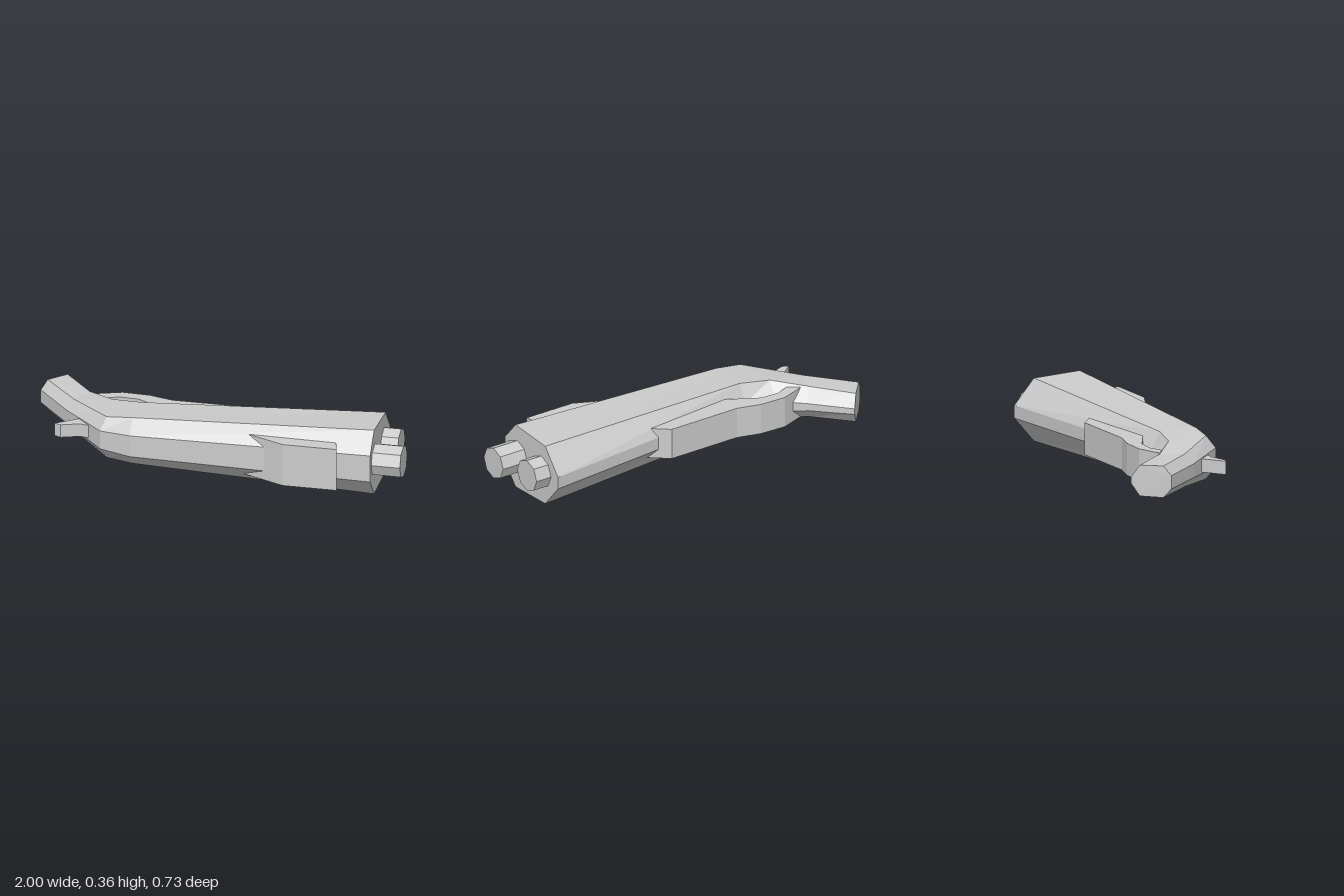
import * as THREE from 'three';

const material = new THREE.MeshStandardMaterial({ color: 0xcccccc, flatShading: true });
const MID = 0.18; // height of the centre line

// Plan-view outline [x, z] raised from y0 to y1
function slab(name, points, y0, y1) {
  const shape = new THREE.Shape(points.map(([x, z]) => new THREE.Vector2(x, -z)));
  const geometry = new THREE.ExtrudeGeometry(shape, { depth: y1 - y0, bevelEnabled: false });
  geometry.rotateX(-Math.PI / 2).translate(0, y0, 0);
  const mesh = new THREE.Mesh(geometry, material);
  mesh.name = name;
  return mesh;
}

// Eight-sided body lofted from the grip end to the muzzle
function createBody() {
  // Each station: [x, z, half height] of front edge, front ridge, back ridge, back edge
  const stations = [
    [[-1, -0.207, 0.035], [-0.97, -0.237, 0.083], [-0.887, -0.33, 0.081], [-0.855, -0.365, 0.016]],
    [[-0.81, 0.02, 0.036], [-0.78, -0.015, 0.086], [-0.725, -0.13, 0.087], [-0.69, -0.187, 0.02]],
    [[-0.58, 0.268, 0.05], [-0.555, 0.225, 0.114], [-0.578, -0.003, 0.112], [-0.56, -0.085, 0.03]],
    [[-0.415, 0.313, 0.058], [-0.415, 0.238, 0.128], [-0.415, 0.032, 0.126], [-0.415, -0.02, 0.035]],
    [[0.85, 0.32, 0.073], [0.85, 0.228, 0.178], [0.85, -0.037, 0.165], [0.85, -0.15, 0.033]],
  ];
  const rings = stations.map((s) => [
    ...s.map(([x, z, h]) => [x, MID + h, z]),
    ...s.slice().reverse().map(([x, z, h]) => [x, MID - h, z]),
  ]);
  const positions = [];
  const tri = (...corners) => corners.forEach((p) => positions.push(...p));
  for (let i = 0; i < rings.length - 1; i++) {
    for (let k = 0; k < 8; k++) {
      const n = (k + 1) % 8;
      const a = rings[i][k], b = rings[i][n], c = rings[i + 1][n], d = rings[i + 1][k];
      tri(a, d, c);
      tri(a, c, b);
    }
  }
  // End caps
  const tail = rings[0], muzzle = rings[rings.length - 1];
  for (let k = 1; k < 7; k++) {
    tri(tail[0], tail[k], tail[k + 1]);
    tri(muzzle[0], muzzle[k + 1], muzzle[k]);
  }
  const geometry = new THREE.BufferGeometry();
  geometry.setAttribute('position', new THREE.Float32BufferAttribute(positions, 3));
  geometry.computeVertexNormals();
  const mesh = new THREE.Mesh(geometry, material);
  mesh.name = 'body';
  return mesh;
}

// Octagonal barrel running along x
function createBarrel(name, z, end) {
  const start = 0.8;
  const geometry = new THREE.CylinderGeometry(0.086, 0.086, end - start, 8);
  geometry.rotateZ(-Math.PI / 2);
  const mesh = new THREE.Mesh(geometry, material);
  mesh.position.set((start + end) / 2, 0.189, z);
  mesh.name = name;
  return mesh;
}

export function createModel() {
  const group = new THREE.Group();
  group.name = 'doubleBarrelGun';
  group.add(createBody());
  group.add(createBarrel('frontBarrel', 0.21, 1));
  group.add(createBarrel('backBarrel', -0.002, 0.94));

  // Wedge-nosed block on the front side
  group.add(slab('frontBlock', [
    [0.1, 0.23], [0.4, 0.365], [0.685, 0.365], [0.645, 0.22],
  ], 0.063, 0.292));

  // Back rail that bends into an open loop behind the grip
  group.add(slab('backRailAndGuard', [
    [-0.7, -0.108], [-0.675, -0.122], [-0.56, -0.163], [-0.415, -0.157], [-0.29, -0.122],
    [0.12, -0.124], [0.29, 0.02], [-0.2, 0.05], [-0.46, -0.095], [-0.56, -0.101],
    [-0.62, -0.078], [-0.66, -0.06],
  ], 0.096, 0.264));

  // Small hooked lever above the grip
  group.add(slab('lever', [
    [-0.835, 0.193], [-0.8, 0.208], [-0.71, 0.175], [-0.655, 0.182], [-0.55, 0.14], [-0.7, 0.09],
  ], 0.147, 0.217));

  return group;
}
